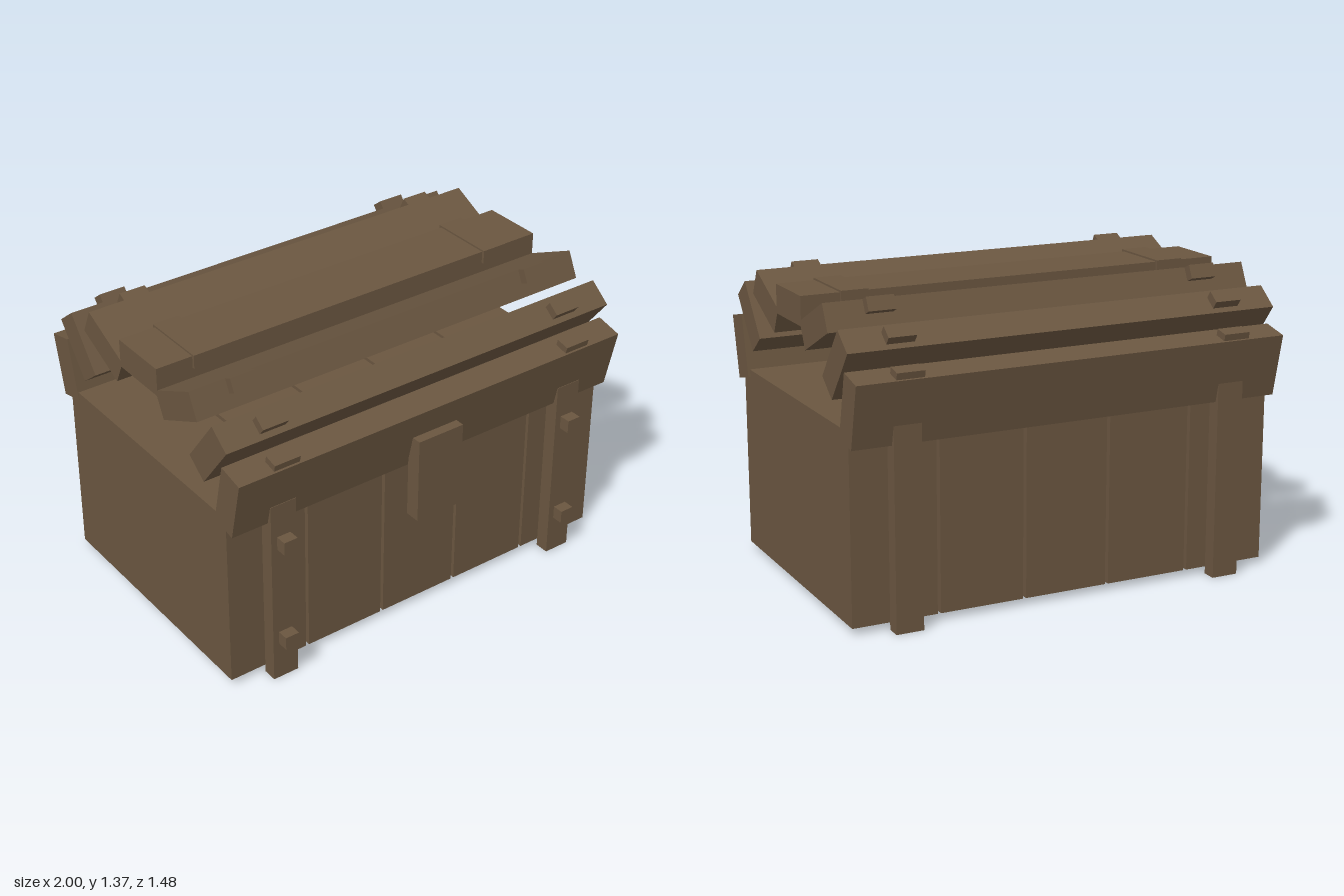
import * as THREE from 'three';

export function createModel() {
  const group = new THREE.Group();
  group.name = 'chest';
  const wood = new THREE.MeshStandardMaterial({ color: 0x6a5640 });
  wood.name = 'brown wood';

  function box(name, w, h, d, x, y, z, parent = group) {
    const mesh = new THREE.Mesh(new THREE.BoxGeometry(w, h, d), wood);
    mesh.name = name;
    mesh.position.set(x, y, z);
    parent.add(mesh);
    return mesh;
  }

  // Body: five thick slabs with narrow gaps
  for (let i = -2; i <= 2; i++) {
    box('bodySlab', 0.385, 0.835, 1.235, i * 0.4 - 0.003, 0.4475, -0.005);
  }

  // Upright straps front and back, with studs on the front ones
  const strapX = [-0.766, 0.762];
  for (const x of strapX) {
    box('frontStrap', 0.124, 0.89, 0.066, x, 0.445, 0.652);
    box('backStrap', 0.124, 0.89, 0.066, x, 0.445, -0.663);
    for (const y of [0.212, 0.703]) box('stud', 0.066, 0.062, 0.055, x, y, 0.709);
  }

  // Lock plate
  box('lock', 0.232, 0.4, 0.072, -0.002, 0.757, 0.706);

  // Lid: fanned boards, mirrored front to back; [z, y, tilt in degrees, clip offset, clip height]
  const middle = -0.007;
  const boards = [
    [0.64, 0.957, 12.8, 0.022, 0.03],
    [0.512, 1.119, 37.8, 0.005, 0.04],
    [0.287, 1.23, 64.3, -0.031, 0.04],
  ];
  for (const side of [1, -1]) {
    for (const [z, y, tilt, offset, rise] of boards) {
      const board = new THREE.Group();
      board.name = side > 0 ? 'frontLidBoard' : 'backLidBoard';
      board.position.set(0, y, middle + side * z);
      board.rotation.x = side * THREE.MathUtils.degToRad(tilt);
      group.add(board);
      box('board', 2, 0.287, 0.126, 0, 0, 0, board);
      // Strap ends poking out of the board's upper edge
      for (const x of strapX) {
        box('strapEnd', 0.124, rise + 0.03, 0.063, x, 0.1435 + (rise - 0.03) / 2, side * offset, board);
      }
    }
  }

  // Top board and the bands across it
  box('topLidBoard', 2, 0.129, 0.29, 0, 1.268, middle);
  for (const x of strapX) box('topBand', 0.124, 0.063, 0.316, x, 1.309, middle);

  return group;
}
